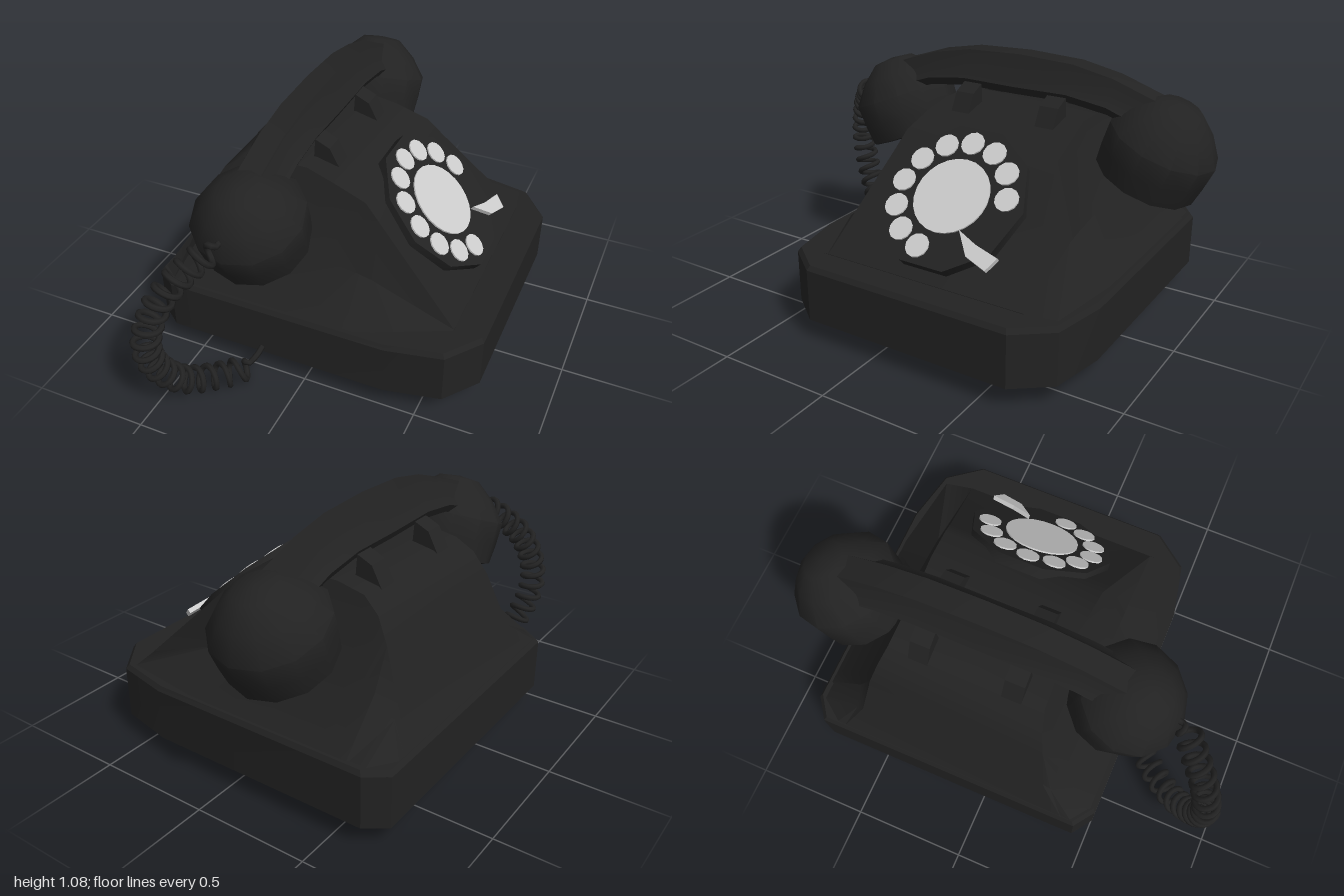
import * as THREE from 'three';
import { toCreasedNormals } from 'three/addons/utils/BufferGeometryUtils.js';

const ZC = -0.16;   // middle of the telephone in z
const HX = -0.225;  // middle of the handset in x

// Closed skin over a list of equal-length rings of [x, y, z], with capped ends
function loft(rings, crease = 0.5) {
  const n = rings[0].length;
  const tris = [];
  const add = (a, b, c) => tris.push([a, b, c]);
  for (let i = 0; i < rings.length - 1; i++) {
    for (let j = 0; j < n; j++) {
      const k = (j + 1) % n;
      const a = rings[i][j], b = rings[i][k], c = rings[i + 1][k], d = rings[i + 1][j];
      add(a, b, c);
      add(a, c, d);
    }
  }
  const first = rings[0], last = rings[rings.length - 1];
  for (let j = 1; j < n - 1; j++) {
    add(first[0], first[j + 1], first[j]);
    add(last[0], last[j], last[j + 1]);
  }
  // Turn the corners outward if the enclosed volume comes out negative
  let volume = 0;
  const [a, b, c] = [new THREE.Vector3(), new THREE.Vector3(), new THREE.Vector3()];
  for (const t of tris) {
    volume += a.fromArray(t[0]).dot(b.fromArray(t[1]).cross(c.fromArray(t[2])));
  }
  const pos = tris.flatMap(t => (volume < 0 ? [t[0], t[2], t[1]] : t)).flat();
  const g = new THREE.BufferGeometry();
  g.setAttribute('position', new THREE.Float32BufferAttribute(pos, 3));
  return toCreasedNormals(g, crease);
}

export function createModel() {
  const black = new THREE.MeshStandardMaterial({ color: 0x222222 });
  black.name = 'black bakelite';
  const silver = new THREE.MeshStandardMaterial({ color: 0xcccccc });
  silver.name = 'light grey';

  const model = new THREE.Group();
  model.name = 'rotaryTelephone';
  const add = (name, geometry, material = black, parent = model) => {
    const m = new THREE.Mesh(geometry, material);
    m.name = name;
    parent.add(m);
    return m;
  };

  // Base: chamfered plan, half of it mirrored across the middle
  const half = [[-0.72, 0.6], [-0.705, 0.61], [-0.63, 0.665], [0.36, 0.665], [0.6, 0.615], [0.715, 0.465]];
  const plan = [...half, ...half.map(([x, z]) => [x, -z]).reverse()];
  add('base', loft([[0.095, 1], [0.32, 1], [0.34, 0.982]].map(([y, s]) =>
    plan.map(([x, z]) => [x * s, y, ZC + z * s]))));

  // Body: sections along x of top, shoulder and rim
  // [x, top y, top half width, shoulder y, shoulder half width, rim half width]
  const sections = [
    [-0.71, 0.33, 0.5, 0.33, 0.54, 0.59],
    [-0.63, 0.47, 0.42, 0.44, 0.455, 0.65],
    [-0.55, 0.69, 0.385, 0.53, 0.46, 0.65],
    [-0.495, 0.785, 0.36, 0.53, 0.46, 0.65],
    [-0.42, 0.84, 0.34, 0.53, 0.46, 0.65],
    [-0.3, 0.862, 0.335, 0.53, 0.46, 0.65],
    [-0.12, 0.862, 0.335, 0.53, 0.46, 0.65],
    [0, 0.832, 0.35, 0.52, 0.46, 0.65],
    [0.15, 0.78, 0.36, 0.495, 0.46, 0.65],
    [0.22, 0.708, 0.375, 0.48, 0.46, 0.65],
    [0.585, 0.342, 0.46, 0.34, 0.465, 0.6],
  ];
  add('body', loft(sections.map(([x, ty, tw, sy, sw, rw]) => [
    [x, 0.33, ZC + rw], [x, sy, ZC + sw], [x, ty, ZC + tw],
    [x, ty, ZC - tw], [x, sy, ZC - sw], [x, 0.33, ZC - rw],
  ])));

  // Dial, tilted on the sloping front; local y points out of the face
  const dial = new THREE.Group();
  dial.name = 'dial';
  dial.position.set(0.355, 0.6225, ZC);
  dial.rotation.z = -0.753;
  model.add(dial);
  const disc = (name, r, h, sides, material, x, y, z) => {
    add(name, toCreasedNormals(new THREE.CylinderGeometry(r, r, h, sides), 0.7), material, dial)
      .position.set(x, y, z);
  };
  disc('dialPlate', 0.325, 0.05, 10, black, 0, -0.025, 0);
  disc('dialCentre', 0.165, 0.008, 24, silver, 0, 0.003, 0);
  for (let i = 0; i < 10; i++) {
    const a = THREE.MathUtils.degToRad(171 - i * 27.7);
    disc('fingerHole', 0.051, 0.008, 12, silver, -0.24 * Math.sin(a), 0.003, 0.24 * Math.cos(a));
  }
  const stop = new THREE.Shape([[0.135, -0.107], [0.175, -0.2], [0.205, -0.31], [0.265, -0.28], [0.23, -0.18]]
    .map(p => new THREE.Vector2(...p)));
  const stopGeo = new THREE.ExtrudeGeometry(stop, { depth: 0.02, bevelEnabled: false });
  stopGeo.rotateX(Math.PI / 2);
  add('fingerStop', stopGeo, silver, dial).position.y = 0.021;

  // Cradle prongs: four wedges, mirrored either side of the handle
  for (const z of [0.042, -0.365]) {
    for (const s of [1, -1]) {
      const ring = w => [[0.09, 0.82], [0.215, 0.82], [0.165, 0.915], [0.1, 0.945]]
        .map(([x, y]) => [HX + s * x, y, z + w]);
      add('cradleProng', loft([ring(-0.043), ring(0.043)], 0.3));
    }
  }

  // Handset: arched handle, sections along z of [offset, top y, bottom y]
  const handset = new THREE.Group();
  handset.name = 'handset';
  model.add(handset);
  const arch = [[0, 1.085, 0.922], [0.25, 1.075, 0.925], [0.43, 1.04, 0.9], [0.77, 0.925, 0.78]];
  const spans = [...arch.slice(1).reverse().map(([d, t, b]) => [-d, t, b]), ...arch];
  const outline = (t, b) => {
    const side = [[0.05, t], [0.08, t - 0.075], [0.11, b + 0.035], [0.09, b]];
    return [...side, ...side.map(([x, y]) => [-x, y]).reverse()];
  };
  add('handle', loft(spans.map(([d, t, b]) =>
    outline(t, b).map(([x, y]) => [HX + x, y, ZC + d])), 0.6), black, handset);

  // Ear and mouth cups, leaning outward at the top
  const cupProfile = [[0, 0.015], [0.19, 0.015], [0.205, 0], [0.22, 0.005], [0.23, 0.09],
    [0.236, 0.19], [0.17, 0.28], [0.09, 0.35], [0, 0.36]].map(p => new THREE.Vector2(...p));
  for (const s of [1, -1]) {
    const cup = add(s > 0 ? 'mouthCup' : 'earCup',
      toCreasedNormals(new THREE.LatheGeometry(cupProfile, 12), 0.75), black, handset);
    cup.position.set(HX, 0.633, ZC + s * 0.575);
    cup.rotation.x = s * 0.39;
  }

  // Coiled cord: helix wound round a hanging curve, straight at both ends
  const path = new THREE.CatmullRomCurve3([
    [-0.23, 0.8, 0.62], [-0.25, 0.79, 0.7], [-0.32, 0.73, 0.78], [-0.41, 0.6, 0.88],
    [-0.457, 0.42, 0.93], [-0.45, 0.27, 0.9], [-0.4, 0.13, 0.81], [-0.32, 0.075, 0.7],
    [-0.24, 0.07, 0.61], [-0.2, 0.11, 0.56], [-0.2, 0.12, 0.48],
  ].map(p => new THREE.Vector3(...p)));
  const turns = 22, steps = turns * 10;
  const frames = path.computeFrenetFrames(steps);
  const coil = [];
  for (let i = 0; i <= steps; i++) {
    const t = i / steps;
    const r = 0.05 * THREE.MathUtils.smoothstep(t, 0.05, 0.1) * (1 - THREE.MathUtils.smoothstep(t, 0.88, 0.92));
    const a = t * turns * Math.PI * 2;
    coil.push(path.getPointAt(t)
      .addScaledVector(frames.normals[i], r * Math.cos(a))
      .addScaledVector(frames.binormals[i], r * Math.sin(a)));
  }
  add('cord', new THREE.TubeGeometry(new THREE.CatmullRomCurve3(coil), turns * 16, 0.013, 6));

  return model;
}
